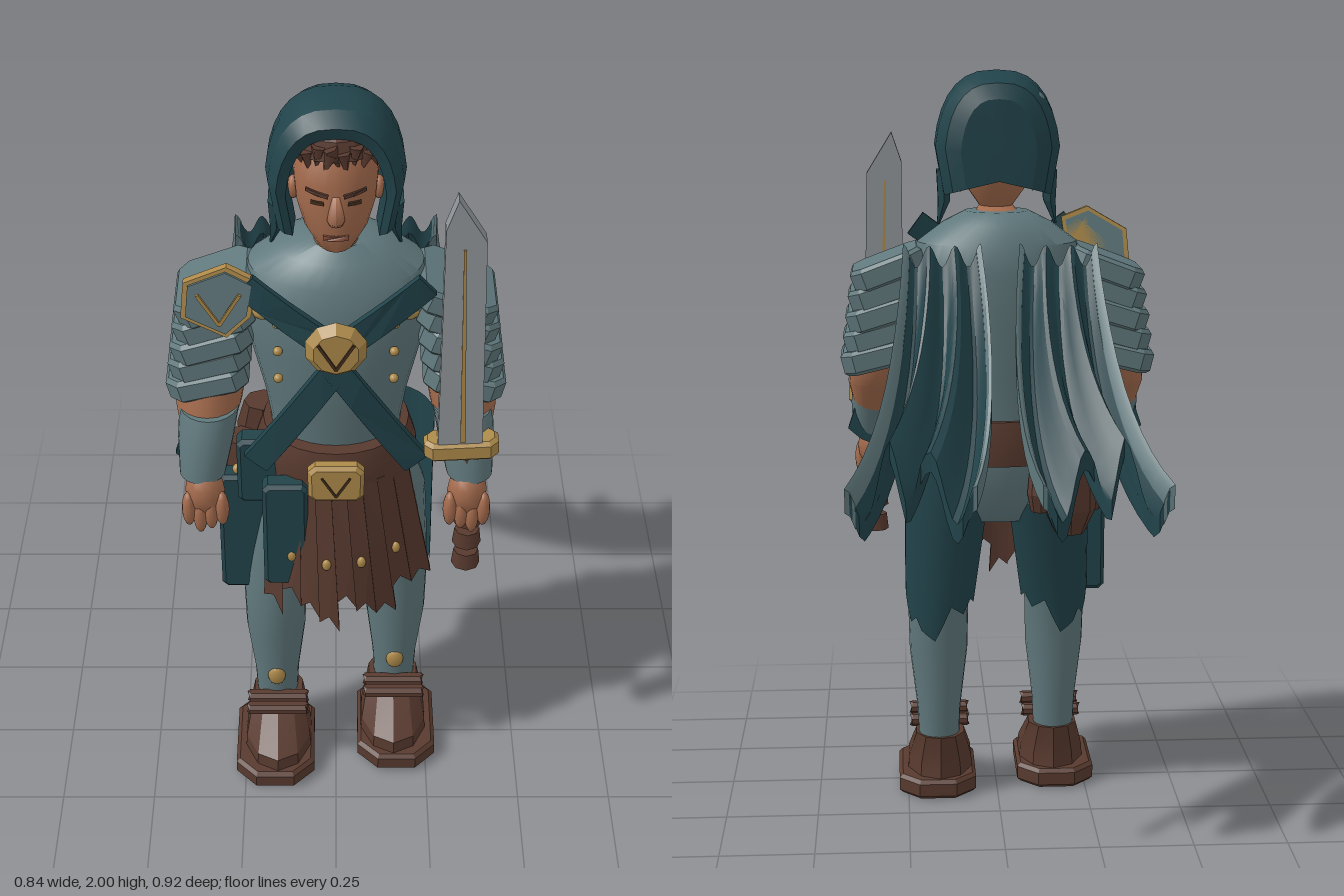
import * as THREE from 'three';
import { mergeVertices, toCreasedNormals } from 'three/addons/utils/BufferGeometryUtils.js';

const paint = (name, color, side = THREE.FrontSide) => {
  const m = new THREE.MeshStandardMaterial({ color, side });
  m.name = name;
  return m;
};

export function createModel() {
  const steel = paint('steel', 0x60787c, THREE.DoubleSide);
  const teal = paint('teal cloth', 0x21434a, THREE.DoubleSide);
  const brown = paint('leather', 0x583a2f);
  const skin = paint('skin', 0xa46b4d);
  const gold = paint('gold', 0xad8a4a);
  const silver = paint('blade', 0x90969a);
  const dark = paint('dark brown', 0x46301f);
  const lip = paint('lip', 0x87503d);
  const model = new THREE.Group();
  const add = (name, geo, mat, x = 0, y = 0, z = 0) => {
    const m = new THREE.Mesh(geo, mat);
    m.name = name;
    m.position.set(x, y, z);
    model.add(m);
    return m;
  };
  const lerp = THREE.MathUtils.lerp;

  // Surface through rows of points
  const surface = (rows, crease = 0.6) => {
    const n = rows[0].length, index = [];
    for (let i = 0; i < rows.length - 1; i++) for (let j = 0; j < n - 1; j++) {
      const a = i * n + j, d = a + n;
      index.push(a, a + 1, d + 1, a, d + 1, d);
    }
    const g = new THREE.BufferGeometry();
    g.setAttribute('position', new THREE.Float32BufferAttribute(rows.flat(2), 3));
    g.setIndex(index);
    return toCreasedNormals(mergeVertices(g), crease);
  };
  // Capped body of elliptical rings [x, y, z, rx, rz], listed upward
  const limb = (rings, sides = 20, crease = 0.6) => {
    const first = rings[0], last = rings[rings.length - 1];
    const all = [[...first.slice(0, 3), 0, 0], ...rings, [...last.slice(0, 3), 0, 0]];
    return surface(all.map(([x, y, z, rx, rz = rx]) => Array.from({ length: sides + 1 }, (_, j) => {
      const a = (j % sides) / sides * Math.PI * 2;
      return [x + rx * Math.sin(a), y, z + rz * Math.cos(a)];
    })), crease);
  };
  // Flat plate in the xy plane, its depth bent by a rule
  const plate = (pts, depth, zRule = () => 0) => {
    const shape = new THREE.Shape(pts.map(p => new THREE.Vector2(...p)));
    const g = new THREE.ExtrudeGeometry(shape, { depth, bevelEnabled: false });
    const p = g.attributes.position;
    for (let i = 0; i < p.count; i++) p.setZ(i, p.getZ(i) + zRule(p.getX(i), p.getY(i)));
    g.computeVertexNormals();
    return g;
  };
  const band = ([x0, y0], [x1, y1], w, n = 8) => {
    const l = Math.hypot(x1 - x0, y1 - y0), nx = -(y1 - y0) / l * w / 2, ny = (x1 - x0) / l * w / 2;
    const mid = Array.from({ length: n + 1 }, (_, i) => [lerp(x0, x1, i / n), lerp(y0, y1, i / n)]);
    return [...mid.map(([x, y]) => [x - nx, y - ny]), ...mid.reverse().map(([x, y]) => [x + nx, y + ny])];
  };
  // Chamfered slab lying flat, centred
  const slab = (w, h, d, c = 0.03) => {
    const b = 0.01, x = w / 2 - b, y = d / 2 - b;
    const shape = new THREE.Shape([[-x + c, -y], [x - c, -y], [x, -y + c], [x, y - c], [x - c, y], [-x + c, y], [-x, y - c], [-x, -y + c]].map(p => new THREE.Vector2(...p)));
    return new THREE.ExtrudeGeometry(shape, { depth: h - 2 * b, bevelSize: b, bevelThickness: b, bevelSegments: 1 })
      .translate(0, 0, b - h / 2).rotateX(-Math.PI / 2);
  };
  const ball = (name, mat, x, y, z, rx, ry = rx, rz = rx) =>
    add(name, new THREE.SphereGeometry(1, 12, 8).scale(rx, ry, rz), mat, x, y, z);
  const chevron = (name, mat, x, y, z, s) => [-1, 1].forEach(k =>
    add(name, plate(band([x, y - s], [x + k * s, y + s * 0.7], s * 0.16, 1), 0.008), mat, 0, 0, z));

  // Torso, hips and belt
  add('torso', limb([[0, 0.95, 0.17, 0.17, 0.13], [0, 1.1, 0.175, 0.165, 0.14], [0, 1.2, 0.18, 0.18, 0.15], [0, 1.35, 0.178, 0.215, 0.165],
    [0, 1.48, 0.175, 0.231, 0.163], [0, 1.555, 0.17, 0.212, 0.15], [0, 1.605, 0.17, 0.145, 0.12], [0, 1.635, 0.175, 0.085, 0.08]], 32), steel);
  add('hips', limb([[0, 0.8, 0.17, 0.12, 0.08], [0, 0.87, 0.17, 0.19, 0.125], [0, 0.99, 0.17, 0.19, 0.135]], 24), steel);
  add('belt', limb([[0, 0.97, 0.185, 0.205, 0.17], [0, 1.03, 0.187, 0.205, 0.175], [0, 1.09, 0.185, 0.185, 0.165]], 24), brown);
  add('buckle', slab(0.14, 0.04, 0.11, 0.012).rotateX(Math.PI / 2), gold, 0, 1.03, 0.38);
  chevron('buckleMark', dark, 0, 1.03, 0.396, 0.035);

  // Crossed straps, medallion and chest studs
  const chestZ = x => 0.36 - 0.75 * x * x;
  for (const s of [-1, 1]) {
    add('upperStrap', plate(band([s * 0.215, 1.585], [0, 1.42], 0.07), 0.018, chestZ), teal);
    add('lowerStrap', plate(band([-s * 0.02, 1.4], [s * 0.2, 1.06], 0.065), 0.02, chestZ), teal);
    ball('strapStud', gold, s * 0.17, 1.51, 0.335, 0.028, 0.02, 0.02);
    for (const y of [1.3, 1.38, 1.46]) ball('chestStud', gold, s * 0.14, y, 0.315, 0.012);
  }
  add('medallion', limb([[0, -0.015, 0, 0.062], [0, 0.005, 0, 0.076], [0, 0.03, 0, 0.055]], 10, 0.2).rotateX(Math.PI / 2), gold, 0, 1.44, 0.385);
  chevron('medallionMark', dark, 0, 1.44, 0.413, 0.042);

  // Fringed leather skirt
  const skirtZ = (x, y) => 0.345 - 3 * x * x + 0.15 * (1 - y);
  for (let i = 0; i < 9; i++) {
    const u = i / 9, v = (i + 1.04) / 9, b = 0.59 + 0.06 * ((i * 5) % 3) / 2;
    const at = (t, y) => [lerp(lerp(-0.17, 0.18, t), lerp(-0.19, 0.25, t), (1 - y) / 0.4), y];
    add('skirtStrip', plate([at(u, 1), at(u, 0.8), at(u, b), at((u + v) / 2, b + 0.02), at(v, b - 0.025), at(v, 0.8), at(v, 1)],
      0.018 + 0.006 * (i % 2), skirtZ), brown);
    const [sx] = at((u + v) / 2, 0.77);
    if (i % 2) ball('skirtStud', gold, sx, 0.77, skirtZ(sx, 0.77) + 0.025, 0.012, 0.017, 0.01);
  }

  // Legs, thigh cloth and boots
  for (const s of [-1, 1]) {
    const f = s > 0 ? 0.245 : 0.31, a = f - 0.075, k = (a + 0.17) / 2;
    add('leg', limb([[s * 0.163, 0.14, a, 0.055], [s * 0.163, 0.25, a, 0.06], [s * 0.163, 0.42, a, 0.08], [s * 0.163, 0.55, a - 0.005, 0.083, 0.085],
      [s * 0.15, 0.7, k, 0.092, 0.1], [s * 0.125, 0.86, 0.17, 0.108, 0.12], [s * 0.11, 0.96, 0.17, 0.09, 0.11]]), steel);
    const top = s > 0 ? 1.08 : 0.87;
    const cloth = Array.from({ length: 7 }, (_, i) => Array.from({ length: 15 }, (_, j) => {
      const ang = s * lerp(0.42, 1.35, j / 14) * Math.PI;
      const hem = lerp(0.6, 0.47, Math.min(1, j / 6)) + 0.04 * ((j * 3) % 4) / 3 + 0.07 * (j > 9);
      const y = lerp(hem, top, i / 6), t = THREE.MathUtils.clamp((y - 0.5) / 0.4, 0, 1);
      return [s * lerp(0.16, 0.13, t) + lerp(0.094, 0.122, t) * Math.sin(ang), y, lerp(a, 0.17, t) + lerp(0.1, 0.13, t) * Math.cos(ang)];
    }));
    add('thighCloth', surface(cloth), teal);
    ball('shinStud', gold, s * 0.163, 0.265, a + 0.06, 0.024, 0.032, 0.014);
    add('sole', slab(0.215, 0.055, 0.315, 0.05), brown, s * 0.168, 0.0275, f);
    const x = s * 0.16;
    add('boot', limb([[x, 0.05, f, 0.095, 0.145], [x, 0.09, f, 0.092, 0.14], [x, 0.13, f - 0.03, 0.082, 0.11], [x, 0.175, a + 0.01, 0.07, 0.078]], 10, 0.2), brown);
    // Ankle bars
    add('ankleBar', slab(0.19, 0.034, 0.036, 0.01), brown, x, 0.2, a + 0.12);
    add('ankleBar', slab(0.19, 0.034, 0.036, 0.01), brown, x, 0.185, a + 0.06);
  }

  // Arms, bracers, hands and layered shoulder plates
  for (const s of [-1, 1]) {
    add('arm', limb([[s * 0.33, 1.0, 0.315, 0.045], [s * 0.325, 1.1, 0.265, 0.062], [s * 0.318, 1.17, 0.22, 0.083, 0.095], [s * 0.31, 1.23, 0.2, 0.086, 0.1],
      [s * 0.29, 1.35, 0.185, 0.085, 0.095], [s * 0.24, 1.5, 0.18, 0.075, 0.09]]), skin);
    add('bracer', limb([[s * 0.335, 1.01, 0.31, 0.058, 0.06], [s * 0.325, 1.1, 0.28, 0.07, 0.075], [s * 0.315, 1.175, 0.245, 0.075, 0.085]]), steel);
    add('bracerFlap', plate([[s * 0.3, 0.97], [s * 0.37, 1.0], [s * 0.405, 1.03], [s * 0.385, 1.09], [s * 0.3, 1.07]], 0.02), teal, 0, 0, 0.25);
    ball('palm', skin, s * 0.33, 0.965, 0.335, 0.05, 0.07, 0.05);
    for (let i = 0; i < 4; i++) ball('finger', skin, s * (0.287 + 0.028 * i), 0.925 - 0.012 * (i % 3), 0.36, 0.018, 0.052, 0.022);
    for (let i = 0; i < 5; i++) {
      const p = add('shoulderPlate', slab(0.2, 0.065, 0.225 - 0.012 * (i % 2), 0.025), steel, s * (0.288 + 0.007 * i), 1.483 - 0.057 * i, 0.19);
      p.rotation.z = -s * (0.36 - 0.03 * i);
    }
  }

  // Shield plate on the right shoulder
  const badge = [[-0.36, 1.57], [-0.255, 1.63], [-0.185, 1.6], [-0.2, 1.5], [-0.26, 1.43], [-0.37, 1.47]].reverse();
  const inset = badge.map(([x, y]) => [lerp(-0.275, x, 0.87), lerp(1.535, y, 0.87)]);
  const badgeZ = x => 0.305 + 0.23 * (x + 0.28);
  add('shoulderBadgeRim', plate(badge, 0.02, badgeZ), gold);
  add('shoulderBadge', plate(inset, 0.026, badgeZ), steel);
  chevron('badgeMark', gold, -0.275, 1.53, 0.345, 0.05);

  // Sword in the left hand
  add('blade', plate([[0.25, 1.13], [0.36, 1.13], [0.345, 1.72], [0.277, 1.83], [0.25, 1.75]], 0.04), silver, 0, 0, 0.325);
  add('bladeGroove', plate([[0.305, 1.14], [0.318, 1.14], [0.298, 1.7], [0.292, 1.7]], 0.046), gold, 0, 0, 0.322);
  add('guard', slab(0.185, 0.055, 0.075, 0.015), gold, 0.31, 1.11, 0.335).rotation.z = 0.06;
  add('grip', new THREE.CylinderGeometry(0.025, 0.025, 0.24, 8), brown, 0.325, 0.98, 0.335);
  for (let i = 0; i < 3; i++) add('gripRing', new THREE.CylinderGeometry(0.032, 0.037, 0.045, 8), brown, 0.335, 0.745 + 0.07 * i, 0.335);

  // Hanging cloth panels and pouches at the right hip
  [[-0.24, 0.76, 0.24, 0.125, 0.38], [-0.128, 0.835, 0.34, 0.115, 0.33], [-0.17, 0.99, 0.27, 0.16, 0.2]].forEach(([x, y, z, w, h]) =>
    add('hipPanel', slab(w, 0.06, h, 0.008).rotateX(Math.PI / 2), teal, x, y, z));
  ball('hipPanelStud', gold, -0.25, 0.98, 0.27, 0.014);
  add('pouch', limb([[-0.19, 0.78, 0.055, 0.04], [-0.19, 0.85, 0.045, 0.07, 0.06], [-0.19, 0.96, 0.045, 0.07, 0.058], [-0.19, 1.04, 0.06, 0.05, 0.045]], 8, 0.1), brown);
  add('sidePouch', limb([[-0.25, 0.83, 0.12, 0.03], [-0.25, 0.88, 0.12, 0.05], [-0.25, 0.97, 0.12, 0.04]], 8, 0.1), brown);
  add('smallPouch', limb([[-0.11, 0.84, 0.05, 0.025], [-0.11, 0.89, 0.045, 0.035], [-0.11, 0.97, 0.05, 0.028]], 8, 0.1), brown);

  // Head and face
  add('head', limb([[0, 1.58, 0.18, 0.06], [0, 1.63, 0.185, 0.058, 0.07], [0, 1.645, 0.225, 0.045, 0.065], [0, 1.69, 0.21, 0.076, 0.09], [0, 1.75, 0.2, 0.094, 0.102],
    [0, 1.82, 0.195, 0.1, 0.105], [0, 1.9, 0.19, 0.088, 0.095], [0, 1.95, 0.19, 0.04]], 24, 0.9), skin);
  add('nose', limb([[0, 1.725, 0.298, 0.016, 0.014], [0, 1.74, 0.303, 0.021, 0.026], [0, 1.8, 0.293, 0.01, 0.012]], 8, 1.4), skin);
  add('mouth', plate(band([-0.03, 1.69], [0.03, 1.69], 0.012), 0.006, x => 0.298 - 5 * x * x), lip);
  for (const s of [-1, 1]) {
    const features = [['eye', 0.028, 1.783, 0.058, 1.782, 0.008, dark], ['eyebrow', 0.018, 1.803, 0.07, 1.812, 0.009, brown]];
    for (const [name, x0, y0, x1, y1, w, mat] of features) {
      const ends = [[s * x0, y0], [s * x1, y1]];
      add(name, plate(band(...(s > 0 ? ends : ends.reverse()), w), 0.006, x => 0.302 - 5 * x * x), mat);
    }
    ball('ear', skin, s * 0.1, 1.77, 0.2, 0.015, 0.03, 0.02);
  }
  add('hair', limb([[0, 1.885, 0.19, 0.106, 0.104], [0, 1.93, 0.185, 0.095, 0.095], [0, 1.96, 0.18, 0.05]], 14, 0.1), brown);
  for (let i = 0; i < 9; i++) {
    const x = -0.084 + 0.021 * i;
    const lock = add('hairLock', new THREE.ConeGeometry(0.019, 0.065, 5).rotateX(Math.PI), brown, x, 1.888 - 0.014 * (i % 2) - 1.5 * x * x, 0.285 - 6 * x * x);
    lock.rotation.z = 0.4 - 0.25 * (i % 4);
  }

  // Hood: arches [z, half width, top, foot], running from the inner rim to the back
  const arch = ([z, w, top, foot]) => Array.from({ length: 17 }, (_, j) => {
    const c = Math.cos(j / 16 * Math.PI), b = Math.sin(j / 16 * Math.PI), mid = lerp(foot, top, 0.45);
    if (j === 0 || j === 16) return [Math.sign(c) * w * 0.85, foot, z];
    return [Math.sign(c) * w * Math.abs(c) ** 0.75, lerp(mid, top, b ** 0.85) - (1 - b) * (mid - foot) * 0.5, z];
  });
  add('hood', surface([[0.19, 0.112, 1.93, 1.68], [0.272, 0.118, 1.935, 1.68], [0.28, 0.14, 1.965, 1.69], [0.24, 0.16, 1.993, 1.68], [0.18, 0.167, 2, 1.68],
    [0.12, 0.165, 1.99, 1.68], [0.07, 0.14, 1.97, 1.69], [0.05, 0.1, 1.93, 1.7], [0.046, 0, 1.8, 1.72]].map(arch), 0.35), teal);
  ball('hoodPatch', steel, -0.105, 1.934, 0.125, 0.022, 0.012, 0.026).rotation.z = 0.7;
  for (const s of [-1, 1])
    add('hoodTail', limb([[s * 0.155, 1.6, 0.17, 0.004], [s * 0.14, 1.66, 0.18, 0.018, 0.035], [s * 0.14, 1.74, 0.19, 0.022, 0.06]], 6, 0.1), teal);

  // Swallow-tailed, deeply pleated cape halves with pale trim
  const tail = [[0, 0.455], [0.12, 0.44], [0.42, 0.33], [0.54, 0.385], [0.66, 0.33], [0.9, 0.44], [1, 0.46]];
  const reach = u => {
    const i = Math.max(1, tail.findIndex(p => p[0] >= u)), [a, b] = [tail[i - 1], tail[i]];
    return lerp(a[1], b[1], (u - a[0]) / (b[0] - a[0]));
  };
  for (const s of [-1, 1]) {
    const point = (u, t, lift) => {
      const d = 0.01 + t * (reach(u) - 0.01);
      const inner = 0.05 - 0.1 * t + 0.13 * t * t, outer = 0.25 + 0.05 * t + 0.1 * t * t;
      const fold = 0.055 * Math.cos(u * 6 * Math.PI) * Math.min(1, 0.5 + 2 * t);
      return [s * lerp(inner, outer, u), 1.53 - 2 * d + 1.6 * d * d + fold + lift, -d + fold * 0.2];
    };
    // Closed sheet between two positions across the cape
    const sheet = (u0, u1, n, thick) => surface([0, ...Array.from({ length: 11 }, (_, i) => i / 10), 1].map((t, r) => {
      const h = r === 0 || r === 12 ? 0 : thick;
      const side = Array.from({ length: n + 1 }, (_, j) => lerp(u0, u1, j / n));
      return [...side.map(u => point(u, t, h)), ...side.reverse().map(u => point(u, t, -h)), point(u0, t, h)];
    }), 0.4);
    add('cape', sheet(0.03, 0.97, 24, 0.025), teal);
    add('capeTrimInner', sheet(0, 0.06, 2, 0.03), steel);
    add('capeTrimOuter', sheet(0.92, 1, 2, 0.03), steel);
  }
  return model;
}
